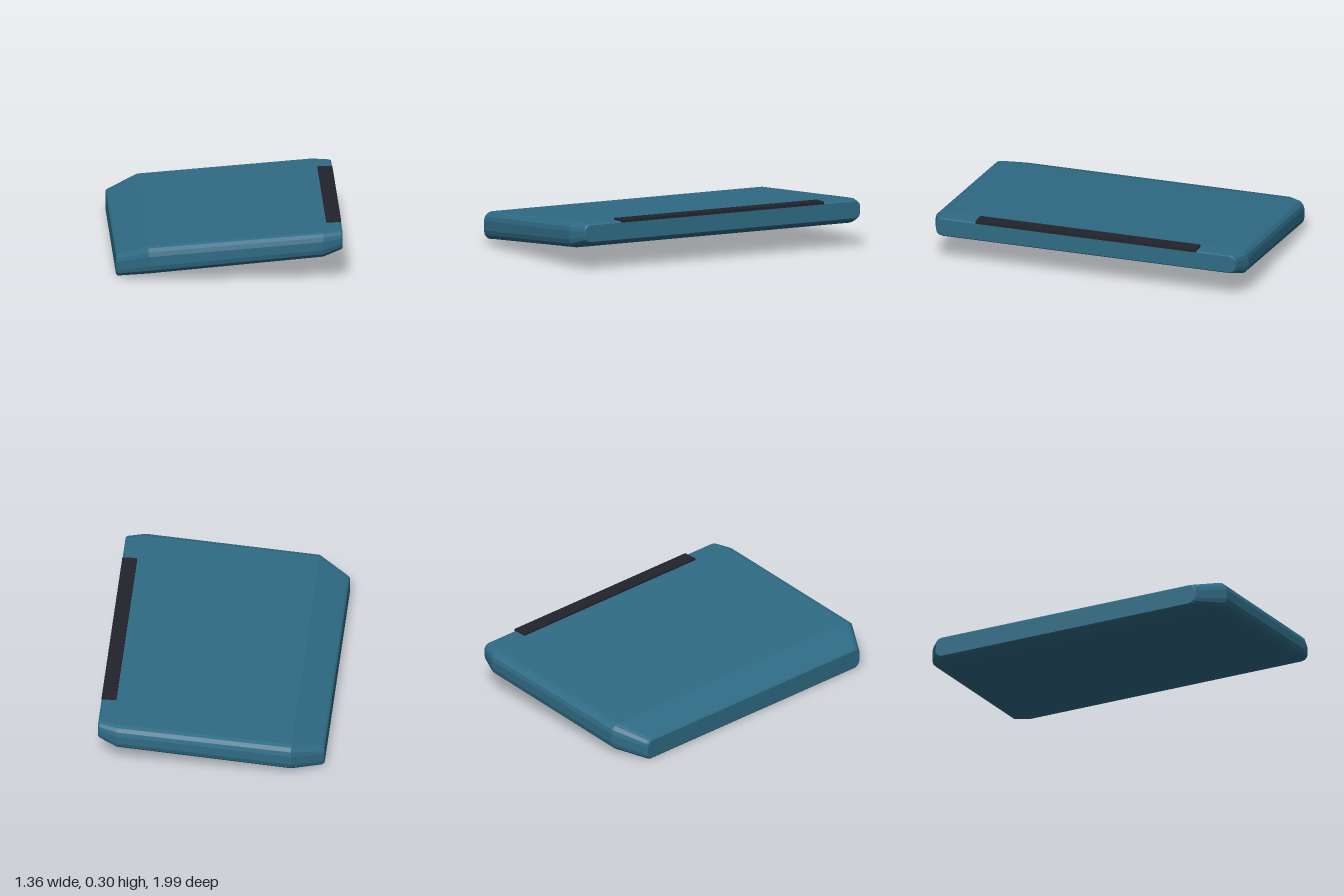
import * as THREE from 'three';

const shellBlue = new THREE.MeshStandardMaterial({ color: 0x2f6b85 });
const stripBlack = new THREE.MeshStandardMaterial({ color: 0x23232c });
shellBlue.name = 'shellBlue';
stripBlack.name = 'stripBlack';

// Cross-sections along x: [x, bottom, top, half width, corner radius]
const sections = [
  [-0.682, 0.01, 0.125, 0.87, 0.035],
  [-0.672, 0.0, 0.135, 0.88, 0.042],
  [-0.49, 0.035, 0.204, 0.992, 0.055],
  [0.565, 0.132, 0.286, 0.997, 0.052],
  [0.672, 0.17, 0.286, 0.958, 0.04],
  [0.682, 0.178, 0.28, 0.95, 0.035],
];

// Rounded rectangle in the zy plane, counter-clockwise from +z towards +y
function ring([x, bottom, top, half, r], steps = 3) {
  const points = [];
  for (let corner = 0; corner < 4; corner++) {
    const z = (corner === 0 || corner === 3 ? 1 : -1) * (half - r);
    const y = corner < 2 ? top - r : bottom + r;
    for (let s = 0; s <= steps; s++) {
      const a = (corner + s / steps) * Math.PI / 2;
      points.push([x, y + r * Math.sin(a), z + r * Math.cos(a)]);
    }
  }
  return points;
}

function loft(list) {
  const rings = list.map((s) => ring(s));
  const n = rings[0].length;
  const index = [];
  for (let i = 0; i < rings.length - 1; i++) {
    for (let j = 0; j < n; j++) {
      const a = i * n + j, b = i * n + (j + 1) % n;
      index.push(a, a + n, b + n, a, b + n, b);
    }
  }
  // End caps
  const last = (rings.length - 1) * n;
  for (let j = 1; j < n - 1; j++) {
    index.push(0, j, j + 1, last, last + j + 1, last + j);
  }
  const indexed = new THREE.BufferGeometry();
  indexed.setAttribute('position', new THREE.Float32BufferAttribute(rings.flat(2), 3));
  indexed.setIndex(index);
  // Separate faces keep the facets crisp
  const geometry = indexed.toNonIndexed();
  geometry.computeVertexNormals();
  return geometry;
}

export function createModel() {
  const group = new THREE.Group();
  group.name = 'slopedPanel';

  const shell = new THREE.Mesh(loft(sections), shellBlue);
  shell.name = 'shell';
  group.add(shell);

  // Dark strip along the raised edge
  const strip = new THREE.Mesh(new THREE.BoxGeometry(0.09, 0.02, 1.405), stripBlack);
  strip.name = 'edgeStrip';
  strip.position.set(0.637, 0.287, 0);
  group.add(strip);

  return group;
}
